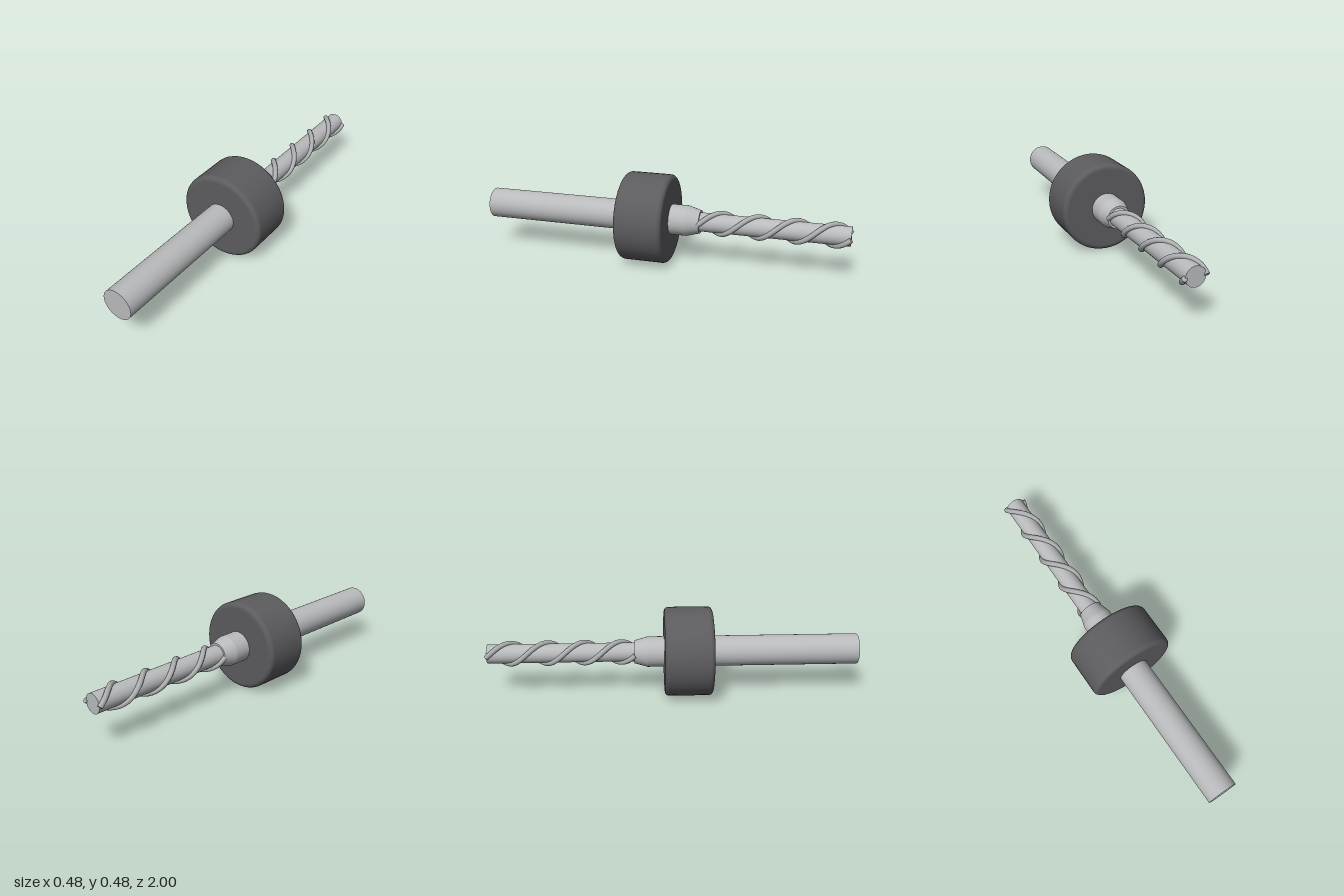
import * as THREE from 'three';

const AXIS_Y = 0.24; // height of the tool's axis

export function createModel() {
  const model = new THREE.Group();
  model.name = 'cuttingTool';
  const steel = new THREE.MeshStandardMaterial({ color: 0xb8babc });
  steel.name = 'steel';
  const darkPlastic = new THREE.MeshStandardMaterial({ color: 0x5c5c5f });
  darkPlastic.name = 'dark plastic';
  const fluteSteel = new THREE.MeshStandardMaterial({ color: 0xacaeb0 });
  fluteSteel.name = 'flute steel';

  function add(name, geometry, material) {
    const mesh = new THREE.Mesh(geometry, material);
    mesh.name = name;
    mesh.position.y = AXIS_Y;
    model.add(mesh);
    return mesh;
  }

  // Round bar along z, from zBack to zFront
  function bar(name, rFront, rBack, zFront, zBack) {
    const g = new THREE.CylinderGeometry(rFront, rBack, zFront - zBack, 48);
    g.rotateX(Math.PI / 2).translate(0, 0, (zFront + zBack) / 2);
    return add(name, g, steel);
  }

  bar('shank', 0.082, 0.082, 1, -0.135);
  bar('neck', 0.082, 0.062, -0.135, -0.205);
  bar('core', 0.051, 0.051, -0.2, -0.99);

  // Depth collar with rounded rims
  const R = 0.24, zBack = -0.045, zFront = 0.213, bevel = 0.025;
  const profile = [[0.05, zBack], [R - bevel - 0.003, zBack]];
  for (const [zc, start] of [[zBack + bevel, -Math.PI / 2], [zFront - bevel, 0]]) {
    for (let i = 0; i <= 6; i++) {
      const a = start + (i / 6) * Math.PI / 2;
      profile.push([R - bevel + bevel * Math.cos(a), zc + bevel * Math.sin(a)]);
    }
  }
  profile.push([R - bevel - 0.003, zFront], [0.05, zFront]);
  const collar = new THREE.LatheGeometry(profile.map(([r, z]) => new THREE.Vector2(r, z)), 48);
  add('collar', collar.rotateX(Math.PI / 2), darkPlastic);

  // Two spiral flutes, each making two turns around the core
  const tubeR = 0.014, helixR = 0.055;
  for (let k = 0; k < 2; k++) {
    const points = [];
    for (let i = 0; i <= 64; i++) {
      const t = i / 64, a = t * Math.PI * 4 + k * Math.PI;
      points.push(new THREE.Vector3(helixR * Math.cos(a), helixR * Math.sin(a), -0.2 - 0.79 * t));
    }
    const path = new THREE.CatmullRomCurve3(points);
    add('flute' + (k + 1), new THREE.TubeGeometry(path, 128, tubeR, 10), fluteSteel);
    // End caps
    for (const t of [0, 1]) {
      const cap = add('fluteEnd', new THREE.CircleGeometry(tubeR, 10), fluteSteel);
      const outward = path.getTangentAt(t).multiplyScalar(t ? 1 : -1);
      cap.position.add(path.getPointAt(t));
      cap.quaternion.setFromUnitVectors(new THREE.Vector3(0, 0, 1), outward);
    }
  }
  return model;
}
